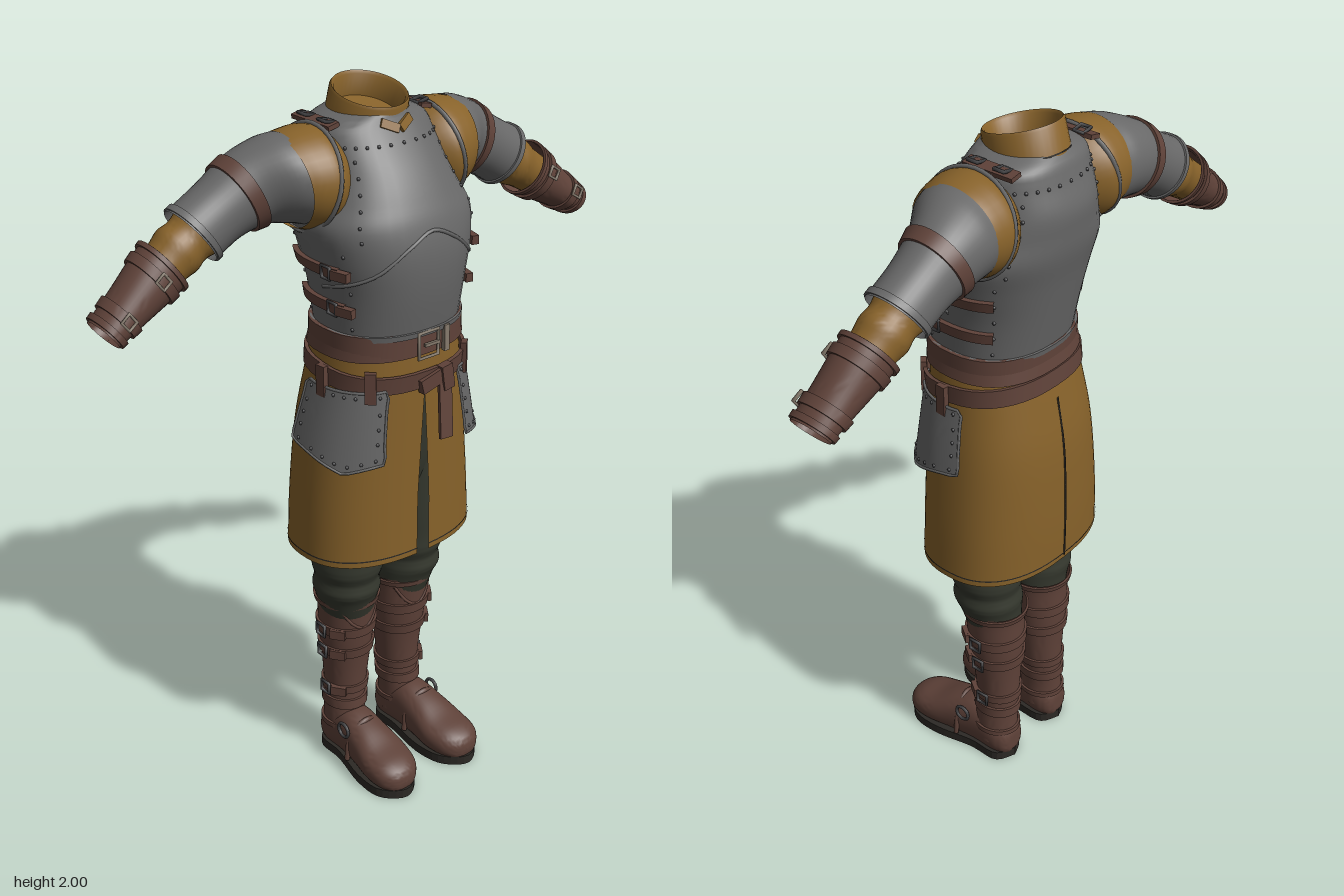
import * as THREE from 'three';
import { mergeVertices, mergeGeometries, toCreasedNormals } from 'three/addons/utils/BufferGeometryUtils.js';

// A section is [x, y, z, radiusA, radiusZ, tilt in degrees of the A axis]; sections run upwards.
const rad = THREE.MathUtils.degToRad;
const pow = (v, n) => Math.sign(v) * Math.pow(Math.abs(v), 2 / n);

// Smooth in-between value of four neighbouring section values
function spline(a, b, c, d, t) {
  const cubic = 3 * (b - c) + d - a;
  const square = 2 * a - 5 * b + 4 * c - d;
  return b + 0.5 * t * (c - a + t * (square + t * cubic));
}

function refine(s, k = 5) {
  const out = [];
  for (let i = 0; i < s.length - 1; i++) {
    const [a, b, c, d] = [s[Math.max(i - 1, 0)], s[i], s[i + 1], s[Math.min(i + 2, s.length - 1)]];
    for (let j = 0; j < k; j++) out.push(b.map((v, m) => spline(a[m], v, c[m], d[m], j / k)));
  }
  return [...out, s[s.length - 1]];
}

function sectionAt(s, y) {
  let i = s.findIndex((q) => q[1] >= y);
  if (i < 0) i = s.length - 1;
  if (i === 0) return s[0];
  const t = Math.min(1, (y - s[i - 1][1]) / (s[i][1] - s[i - 1][1]));
  return s[i].map((v, m) => THREE.MathUtils.lerp(s[i - 1][m], v, t));
}

function ringPoint([x, y, z, ra, rz, tilt], deg, n = 2, out = 0) {
  const a = pow(Math.cos(rad(deg)), n) * (ra + out), b = pow(Math.sin(rad(deg)), n) * (rz + out);
  return [x + a * Math.cos(rad(tilt)), y + a * Math.sin(rad(tilt)), z + b];
}

function grid(nu, nv, fn) {
  const pos = [], idx = [];
  for (let j = 0; j <= nv; j++) for (let i = 0; i <= nu; i++) pos.push(...fn(i / nu, j));
  for (let j = 0; j < nv; j++) for (let i = 0; i < nu; i++) {
    const a = j * (nu + 1) + i, b = a + nu + 1;
    idx.push(a, b, a + 1, a + 1, b, b + 1);
  }
  const g = new THREE.BufferGeometry();
  g.setAttribute('position', new THREE.Float32BufferAttribute(pos, 3));
  g.setIndex(idx);
  return toCreasedNormals(mergeVertices(g, 1e-5), 0.8);
}

const loft = (s, n = 2, gap = () => 0, seg = 40) => grid(seg, s.length - 1, (u, j) => {
  const g = gap(s[j][1]);
  return ringPoint(s[j], 90 + g + u * (360 - 2 * g), n);
});

// A raised strap wrapped around a lofted part
const grow = (section, o) => section.map((v, m) => (m === 3 || m === 4 ? v + o : v));
function band(s, y0, y1, out, n = 2) {
  const low = sectionAt(s, y0), high = sectionAt(s, y1);
  return loft([low, grow(low, out), grow(high, out), high], n);
}

function place(g, p, r = [0, 0, 0], s = [1, 1, 1]) {
  const q = new THREE.Quaternion().setFromEuler(new THREE.Euler(...r));
  return g.applyMatrix4(new THREE.Matrix4().compose(new THREE.Vector3(...p), q, new THREE.Vector3(...s)));
}
const box = (w, h, d, p, r) => place(new THREE.BoxGeometry(w, h, d), p, r);
const buckle = (size, p, r, s) => place(new THREE.TorusGeometry(size, 0.005, 6, 4).rotateZ(Math.PI / 4), p, r, s);
const tube = (pts, r, closed = false) => new THREE.TubeGeometry(
  new THREE.CatmullRomCurve3(pts.map((p) => new THREE.Vector3(...p)), closed), 40, r, 6, closed);
const rivets = (pts) => mergeGeometries(pts.map((p) => place(new THREE.SphereGeometry(0.005, 6, 4), p)));

function mirrored(geo) {
  const g = mergeVertices(geo.clone()).scale(-1, 1, 1), ix = g.index.array;
  for (let i = 0; i < ix.length; i += 3) [ix[i], ix[i + 1]] = [ix[i + 1], ix[i]];
  return g;
}

export function createModel() {
  const root = new THREE.Group();
  const mat = (name, color) => Object.assign(
    new THREE.MeshStandardMaterial({ color, side: THREE.DoubleSide }), { name });
  const steel = mat('steel', 0x686868), cloth = mat('ochre cloth', 0x87622a), leather = mat('brown leather', 0x5f4239);
  const wool = mat('dark green wool', 0x35382e), brass = mat('pale buckle metal', 0x857a6c);
  const dark = mat('dark trim', 0x2c2925), iron = mat('dark iron', 0x424244);
  const add = (name, geo, m) => {
    const mesh = new THREE.Mesh(geo, m);
    mesh.name = name;
    root.add(mesh);
  };
  const pair = (name, geo, m) => {
    add(name + 'Left', geo, m);
    add(name + 'Right', mirrored(geo), m);
  };

  // Breastplate and backplate
  const torso = refine([
    [0, 1.37, -0.002, 0.19, 0.162, 0], [0, 1.5, -0.003, 0.2, 0.187, 0], [0, 1.6, -0.01, 0.22, 0.2, 0],
    [0, 1.68, -0.026, 0.232, 0.202, 0], [0, 1.74, -0.042, 0.205, 0.192, 0], [0, 1.8, -0.06, 0.182, 0.175, 0],
    [0, 1.86, -0.072, 0.17, 0.143, 0], [0, 1.905, -0.08, 0.155, 0.12, 0], [0, 1.93, -0.075, 0.095, 0.105, 0]]);
  const onTorso = (deg, y, out = 0) => ringPoint(sectionAt(torso, y), deg, 2.3, out);
  add('cuirass', loft(torso, 2.3), steel);
  add('breastRidge', tube([[0, 1.52], [25, 1.545], [50, 1.58], [75, 1.64], [90, 1.67], [105, 1.64], [130, 1.58],
    [155, 1.545], [180, 1.52]].map(([a, y]) => onTorso(a, y)), 0.005), steel);
  add('waistRim', band(torso, 1.39, 1.405, 0.007, 2.3), steel);
  const studs = [];
  for (let a = 35; a <= 145; a += 11) studs.push(onTorso(a, 1.865), onTorso(-a, 1.865));
  for (let y = 1.66; y < 1.86; y += 0.035) for (const a of [42, 138, -42, -138]) studs.push(onTorso(a, y));
  for (let y = 1.42; y < 1.66; y += 0.05) for (const a of [25, 155, -35, -145]) studs.push(onTorso(a, y));
  add('cuirassRivets', rivets(studs), iron);
  for (const y of [1.475, 1.575]) {
    pair('sideStrap', grid(10, 3, (u, j) => onTorso(-35 + 55 * u, y + (j < 2 ? -0.014 : 0.014),
      j % 3 ? 0.014 : 0)), leather);
    pair('sideBuckle', buckle(0.022, onTorso(10, y, 0.016), [0, Math.PI / 2, 0]), iron);
    pair('sideStrapTip', box(0.02, 0.024, 0.05, onTorso(22, y, 0.016), [0, -0.25, 0]), leather);
  }

  // Padded armholes, rolled plate rims and shoulder straps
  pair('armholePadding', loft(refine([[0.265, 1.785, -0.078, 0.118, 0.127, 83], [0.23, 1.785, -0.074, 0.127, 0.137, 86],
    [0.18, 1.785, -0.07, 0.128, 0.138, 90], [0.12, 1.785, -0.07, 0.09, 0.09, 90]])), cloth);
  const rim = [];
  for (let a = 0; a < 360; a += 30) {
    const c = Math.cos(rad(a)), s = Math.sin(rad(a));
    rim.push([0.2 - 0.026 * s, 1.785 + 0.13 * s, -0.07 + 0.141 * c]);
  }
  pair('armholeRim', tube(rim, 0.006, true), steel);
  pair('shoulderStrap', box(0.034, 0.012, 0.15, [0.148, 1.912, -0.095], [0, 0, -0.2]), leather);
  for (const z of [-0.13, -0.05]) {
    pair('shoulderBuckle', buckle(0.021, [0.148, 1.921, z], [Math.PI / 2, 0.2, 0]), iron);
  }

  // Standing collar, higher at the back, with a padded floor
  const collar = [[-0.06, 0.105, 0.11], [-0.045, 0.102, 0.107], [0.036, 0.099, 0.104], [0.043, 0.095, 0.1],
    [0.036, 0.088, 0.093], [-0.02, 0.08, 0.086], [-0.025, 0, 0]].map(([y, a, b]) => [0, y, 0, a, b, 0]);
  add('collar', place(loft(collar), [0, 1.93, -0.075], [0.25, 0, 0]), cloth);
  add('collarSeam', place(loft([[0, -0.03, 0, 0.1035, 0.1085, 0], [0, -0.026, 0, 0.1035, 0.1085, 0]]),
    [0, 1.93, -0.075], [0.25, 0, 0]), dark);
  pair('collarLapel', box(0.05, 0.022, 0.012, [0.024, 1.905, 0.042], [-0.4, 0.2, 0.5]), cloth);

  // Arms: steel upper plate, cloth elbow and leather bracer
  const upper = refine([[0.51, 1.69, -0.12, 0.085, 0.079, 55], [0.43, 1.735, -0.12, 0.084, 0.081, 62],
    [0.35, 1.772, -0.115, 0.099, 0.095, 68], [0.285, 1.788, -0.092, 0.113, 0.12, 76], [0.25, 1.79, -0.08, 0.118, 0.126, 82]]);
  const sleeve = refine([[0.65, 1.597, -0.114, 0.055, 0.055, 56], [0.585, 1.64, -0.118, 0.06, 0.06, 56],
    [0.55, 1.663, -0.12, 0.068, 0.066, 57], [0.52, 1.682, -0.12, 0.063, 0.063, 58], [0.48, 1.705, -0.12, 0.072, 0.07, 60],
    [0.4, 1.75, -0.12, 0.07, 0.07, 62]]);
  const bracer = refine([[0.775, 1.512, -0.105, 0.042, 0.058, 55], [0.7, 1.563, -0.11, 0.056, 0.063, 56],
    [0.63, 1.612, -0.115, 0.07, 0.069, 56], [0.59, 1.64, -0.118, 0.074, 0.072, 56]]);
  pair('upperArmPlate', loft(upper), steel);
  pair('upperArmRim', band(upper, 1.692, 1.7, 0.005), steel);
  pair('upperArmStrap', band(upper, 1.757, 1.77, 0.007), leather);
  pair('sleeve', loft(sleeve), cloth);
  pair('bracer', loft(bracer), leather);
  for (const [y0, y1] of [[1.515, 1.524], [1.535, 1.55], [1.606, 1.621], [1.632, 1.639]]) {
    pair('bracerStrap', band(bracer, y0, y1, 0.007), leather);
  }
  for (const y of [1.542, 1.613]) {
    pair('bracerBuckle', buckle(0.02, ringPoint(sectionAt(bracer, y), 75, 2, 0.01), [-0.2, 0, -0.6]), brass);
  }

  // Split skirt with hem and back seam
  const skirt = refine([[0, 0.74, -0.035, 0.268, 0.19, 0], [0, 0.9, -0.035, 0.257, 0.19, 0],
    [0, 1.1, -0.03, 0.235, 0.185, 0], [0, 1.25, -0.017, 0.212, 0.172, 0], [0, 1.37, -0.005, 0.193, 0.158, 0]]);
  const onSkirt = (deg, y, out = 0) => ringPoint(sectionAt(skirt, y), deg, 2.4, out);
  const slit = (y) => 2.6 * Math.min(1, Math.max(0, (1.22 - y) / 0.3));
  add('skirt', loft(skirt, 2.4, slit, 64), cloth);
  add('hemStitching', loft([0.756, 0.76].map((y) => grow(sectionAt(skirt, y), 0.002)), 2.4, slit, 64), dark);
  add('backSeam', tube([0.75, 0.9, 1.1, 1.25].map((y) => onSkirt(270, y)), 0.003), dark);

  // Belts, buckle, knot and hanging tail
  add('waistBelt', band(skirt, 1.335, 1.4, 0.01, 2.4), leather);
  const waist = sectionAt(skirt, 1.37);
  add('waistBeltTop', loft([[1.335, 0.011], [1.405, 0.011], [1.405, -0.01]].map(([y, o]) =>
    grow([0, y, ...waist.slice(2)], o)), 2.4), leather);
  const hip = [[-0.024, 0], [-0.024, 0.01], [0.024, 0.01], [0.024, 0]].map(([y, o]) => [0, y, 0, 0.206 + o, 0.169 + o, 0]);
  add('hipBelt', place(loft(hip, 2.4), [0, 1.288, -0.008], [0.12, 0, 0]), leather);
  add('waistBuckle', buckle(0.045, [-0.005, 1.366, 0.174], [0, 0, 0], [1, 1.1, 1]), brass);
  add('waistBuckleTongue', box(0.05, 0.008, 0.008, [0.005, 1.366, 0.176]), brass);
  add('waistBeltLoop', box(0.016, 0.072, 0.012, [0.058, 1.366, 0.168]), brass);
  add('beltKnot', box(0.1, 0.04, 0.022, [0.02, 1.262, 0.17], [0, 0, 0.25]), leather);
  add('beltLoop', box(0.035, 0.07, 0.024, [0.055, 1.26, 0.175], [0, 0, 0.15]), leather);
  add('beltTail', box(0.042, 0.17, 0.009, [0.045, 1.178, 0.186], [-0.15, 0, -0.08]), leather);

  // Hip plates hung from the belt
  const plateY = (u, v) => 1.255 - v * (u < 0.6 ? 0.165 + 0.09 * u : 0.219 - 0.06 * (u - 0.6));
  const plate = (u, v) => onSkirt(-8 + 70 * u, plateY(u, v), 0.012 + 0.016 * v);
  pair('hipPlate', grid(20, 8, (u, j) => plate(u, 1 - j / 8)), steel);
  const border = [], hipStuds = [];
  for (let i = 0; i <= 10; i++) border.push(plate(i / 10, 1));
  for (const v of [0.75, 0.5, 0.25, 0]) border.push(plate(1, v));
  for (let i = 9; i >= 0; i--) border.push(plate(i / 10, 0));
  for (const v of [0.25, 0.5, 0.75]) border.push(plate(0, v));
  for (let i = 0; i <= 6; i++) hipStuds.push(plate(0.08 + 0.14 * i, 0.92), plate(0.08 + 0.14 * i, 0.07));
  for (const v of [0.3, 0.5, 0.7]) hipStuds.push(plate(0.07, v), plate(0.93, v));
  pair('hipPlateRim', tube(border, 0.004, true), steel);
  pair('hipPlateRivets', rivets(hipStuds), iron);
  for (const a of [5, 48]) {
    pair('hipPlateHanger', box(0.03, 0.085, 0.016, onSkirt(a, 1.27, 0.014), [0, rad(90 - a), 0]), leather);
  }

  // Trousers
  add('trouserSeat', loft(refine([[0, 0.88, -0.035, 0.17, 0.1, 0], [0, 1.0, -0.03, 0.19, 0.125, 0],
    [0, 1.3, -0.01, 0.18, 0.14, 0]])), wool);
  pair('trouserLeg', loft(refine([[0.1, 0.5, -0.057, 0.078, 0.08, 0], [0.105, 0.555, -0.05, 0.088, 0.09, 0],
    [0.11, 0.59, -0.045, 0.094, 0.1, 0], [0.109, 0.625, -0.043, 0.09, 0.095, 0], [0.109, 0.66, -0.04, 0.099, 0.104, 0],
    [0.107, 0.71, -0.038, 0.098, 0.103, 0], [0.1, 0.82, -0.035, 0.098, 0.107, 0], [0.095, 1.1, -0.025, 0.09, 0.11, 0]])), wool);

  // Boots
  const shaft = refine([[0.105, 0.06, -0.075, 0.06, 0.064, 0], [0.104, 0.13, -0.07, 0.058, 0.066, 0],
    [0.1, 0.2, -0.073, 0.058, 0.063, 0], [0.098, 0.3, -0.07, 0.066, 0.068, 0], [0.098, 0.42, -0.065, 0.078, 0.08, 0],
    [0.098, 0.52, -0.06, 0.084, 0.086, 0], [0.098, 0.555, -0.06, 0.089, 0.092, 0]]);
  pair('bootShaft', loft(shaft), leather);
  for (const [y0, y1] of [[0.1, 0.115], [0.17, 0.2], [0.225, 0.25], [0.36, 0.39], [0.435, 0.465], [0.535, 0.55]]) {
    pair('bootStrap', band(shaft, y0, y1, 0.007), leather);
  }
  for (const y of [0.237, 0.375, 0.45]) {
    pair('bootBuckle', buckle(0.024, ringPoint(sectionAt(shaft, y), 0, 2, 0.012), [0, Math.PI / 2, 0]), iron);
    pair('bootStrapTip', box(0.012, 0.028, 0.045, ringPoint(sectionAt(shaft, y), 35, 2, 0.009), [0, -0.6, 0]), leather);
  }
  const shinLine = [[40, 0.53], [65, 0.48], [90, 0.46], [115, 0.48], [140, 0.53]];
  pair('shinSeam', tube(shinLine.map(([a, y]) => ringPoint(sectionAt(shaft, y), a)), 0.005), leather);
  pair('bootFoot', loft(refine([[0.105, -0.14, -0.06, 0, 0, 0], [0.105, -0.136, -0.06, 0.035, 0.042, 0],
    [0.105, -0.1, -0.07, 0.057, 0.066, 0], [0.107, -0.02, -0.085, 0.06, 0.08, 0], [0.11, 0.06, -0.076, 0.068, 0.07, 0],
    [0.113, 0.13, -0.062, 0.077, 0.054, 0], [0.117, 0.19, -0.055, 0.068, 0.045, 0], [0.118, 0.225, -0.048, 0.038, 0.03, 0],
    [0.118, 0.234, -0.046, 0, 0, 0]]), 2.3).rotateX(Math.PI / 2), leather);
  pair('instepStrap', tube([[0.175, 0.035, 0.03], [0.168, 0.09, 0.03], [0.145, 0.135, 0.035], [0.11, 0.152, 0.04],
    [0.075, 0.135, 0.035], [0.05, 0.09, 0.03], [0.044, 0.035, 0.03]], 0.008), leather);
  pair('instepRing', place(new THREE.TorusGeometry(0.022, 0.005, 6, 16), [0.17, 0.125, 0.008], [0, Math.PI / 2, 0]), iron);
  const outline = [[0.16, -0.11], [0.165, -0.02], [0.19, 0.1], [0.182, 0.19], [0.118, 0.238], [0.053, 0.19],
    [0.033, 0.1], [0.046, -0.02], [0.05, -0.11], [0.105, -0.143]].map((p) => new THREE.Vector2(...p));
  const sole = new THREE.Shape().moveTo(0.105, -0.143).splineThru(outline);
  pair('bootSole', new THREE.ExtrudeGeometry(sole, { depth: 0.028, bevelEnabled: false, curveSegments: 4 })
    .rotateX(Math.PI / 2).translate(0, 0.028, 0), dark);
  return root;
}
